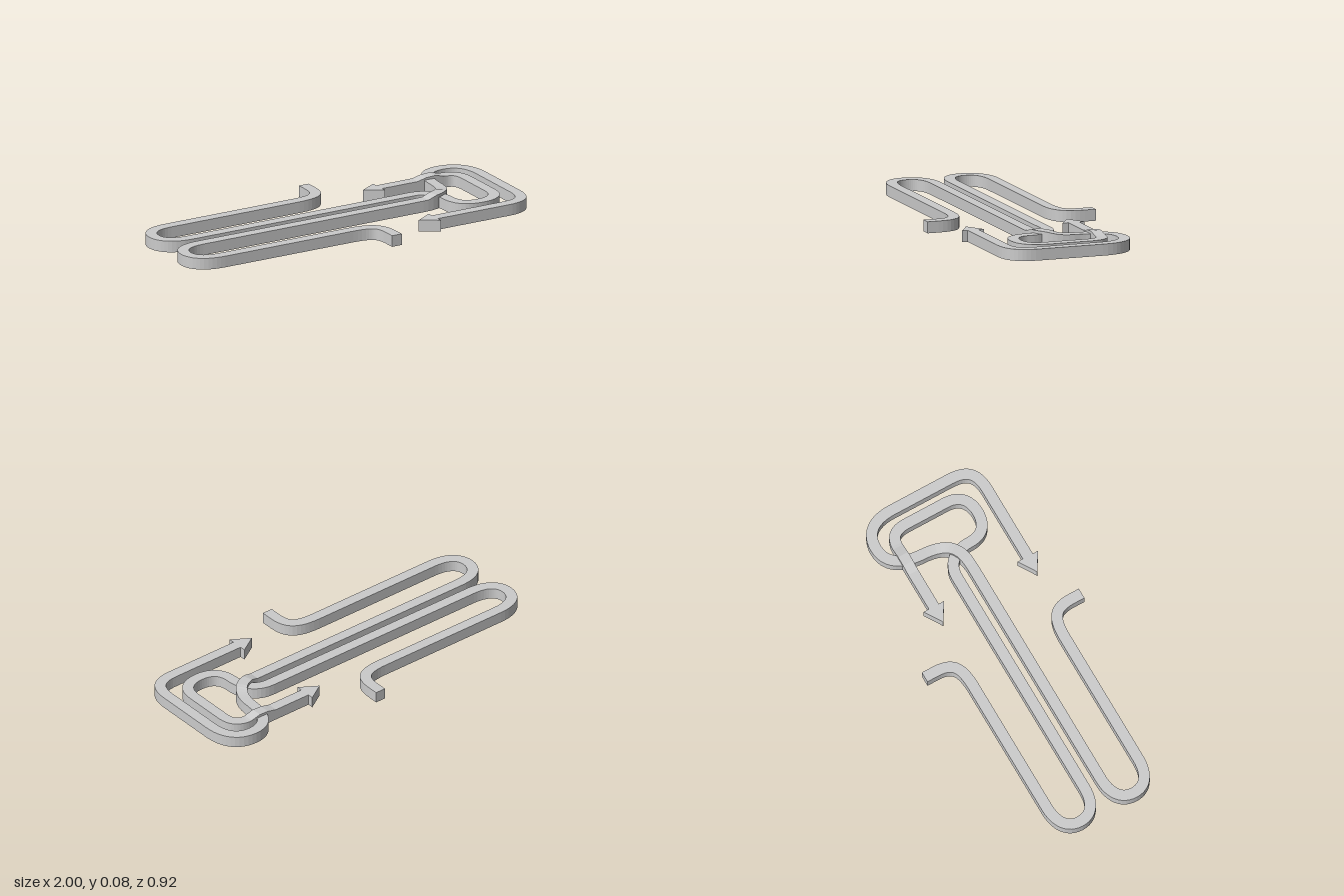
import * as THREE from 'three';

const HALF = 0.029;   // half width of the band
const H = 0.06;       // height of the band
const RISE = 0.015;   // extra height where one band passes over the other

const material = new THREE.MeshStandardMaterial({ color: 0xcccccc, flatShading: true, side: THREE.DoubleSide });
const v2 = (p) => new THREE.Vector2(p[0], p[1]);

// Path in (x, z): each step is [end] for a line or [control, control, end] for a bend
function makePath(start, steps) {
  const curves = [];
  let from = v2(start);
  for (const step of steps) {
    const pts = step.map(v2);
    curves.push(pts.length === 1
      ? new THREE.LineCurve(from, pts[0])
      : new THREE.CubicBezierCurve(from, ...pts));
    from = pts[pts.length - 1];
  }
  return curves;
}

// Sweeps a rectangular section along the path; rise(x, z) lifts the top
function bandGeometry(curves, rise) {
  const pos = [], idx = [];
  let rings = 0;
  curves.forEach((curve, c) => {
    const n = curve.isLineCurve ? Math.max(1, Math.round(curve.getLength() / 0.05)) : 12;
    for (let i = c ? 1 : 0; i <= n; i++) {
      const p = curve.getPoint(i / n), t = curve.getTangent(i / n);
      const nx = -t.y * HALF, nz = t.x * HALF, top = H + rise(p.x, p.y);
      pos.push(p.x + nx, 0, p.y + nz, p.x + nx, top, p.y + nz,
        p.x - nx, top, p.y - nz, p.x - nx, 0, p.y - nz);
      rings++;
    }
  });
  for (let i = 0; i < rings - 1; i++) {
    for (let k = 0; k < 4; k++) {
      const a = i * 4 + k, b = i * 4 + (k + 1) % 4;
      idx.push(a, a + 4, b + 4, a, b + 4, b);
    }
  }
  const e = (rings - 1) * 4;
  idx.push(0, 1, 2, 0, 2, 3, e, e + 2, e + 1, e, e + 3, e + 2);
  const g = new THREE.BufferGeometry();
  g.setAttribute('position', new THREE.Float32BufferAttribute(pos, 3));
  g.setIndex(idx);
  g.computeVertexNormals();
  return g;
}

// Smooth hump centred on a crossing
function hump(cx, cz, flat, reach) {
  return (x, z) => Math.abs(z - cz) > 0.12 ? 0
    : RISE * (1 - THREE.MathUtils.smoothstep(Math.abs(x - cx), flat, reach));
}

// Hooked end, long arm, U-bend and return arm, mirrored by s
function armSteps(s) {
  return [
    [[0.1, 0.40 * s]],
    [[0.1, 0.30 * s], [0.06, 0.27 * s], [-0.06, 0.268 * s]],
    [[-0.82, 0.268 * s]],
    [[-0.92, 0.268 * s], [-0.971, 0.225 * s], [-0.971, 0.158 * s]],
    [[-0.971, 0.091 * s], [-0.92, 0.048 * s], [-0.82, 0.048 * s]],
    [[0.49, 0.048 * s]],
  ];
}

// Arrowhead pointing to -x, with its base at x = 0.41
function arrowHead(z) {
  const shape = new THREE.Shape([[0.41, -0.06], [0.41, 0.06], [0.313, 0]].map(v2));
  const g = new THREE.ExtrudeGeometry(shape, { depth: H, bevelEnabled: false });
  g.rotateX(-Math.PI / 2).translate(0, 0, z);
  return g;
}

export function createModel() {
  const model = new THREE.Group();
  model.name = 'interlockedBands';

  // Back band: inner loop, ending over the other band
  const backPath = makePath([0.1, -0.46], [
    ...armSteps(-1),
    [[0.58, -0.048], [0.623, 0.02], [0.623, 0.10]],
    [[0.623, 0.18], [0.67, 0.218], [0.745, 0.218]],
    [[0.82, 0.218], [0.87, 0.18], [0.87, 0.10]],
    [[0.87, -0.13]],
    [[0.87, -0.20], [0.84, -0.23], [0.78, -0.23]],
    [[0.41, -0.23]],
  ]);
  // Front band: crosses over, then runs round the outer loop
  const frontPath = makePath([0.1, 0.46], [
    ...armSteps(1),
    [[0.61, 0.048], [0.675, 0.0], [0.684, -0.12]],
    [[0.686, -0.25], [0.73, -0.331], [0.83, -0.331]],
    [[0.92, -0.331], [0.971, -0.27], [0.971, -0.16]],
    [[0.971, 0.18]],
    [[0.971, 0.28], [0.93, 0.321], [0.83, 0.321]],
    [[0.41, 0.321]],
  ]);

  const bands = [
    ['backBand', backPath, hump(0.71, -0.23, 0.02, 0.08), -0.23],
    ['frontBand', frontPath, hump(0.6, 0.015, 0.03, 0.085), 0.321],
  ];
  for (const [name, path, rise, z] of bands) {
    const band = new THREE.Mesh(bandGeometry(path, rise), material);
    band.name = name;
    const head = new THREE.Mesh(arrowHead(z), material);
    head.name = name + 'Arrowhead';
    model.add(band, head);
  }
  return model;
}
